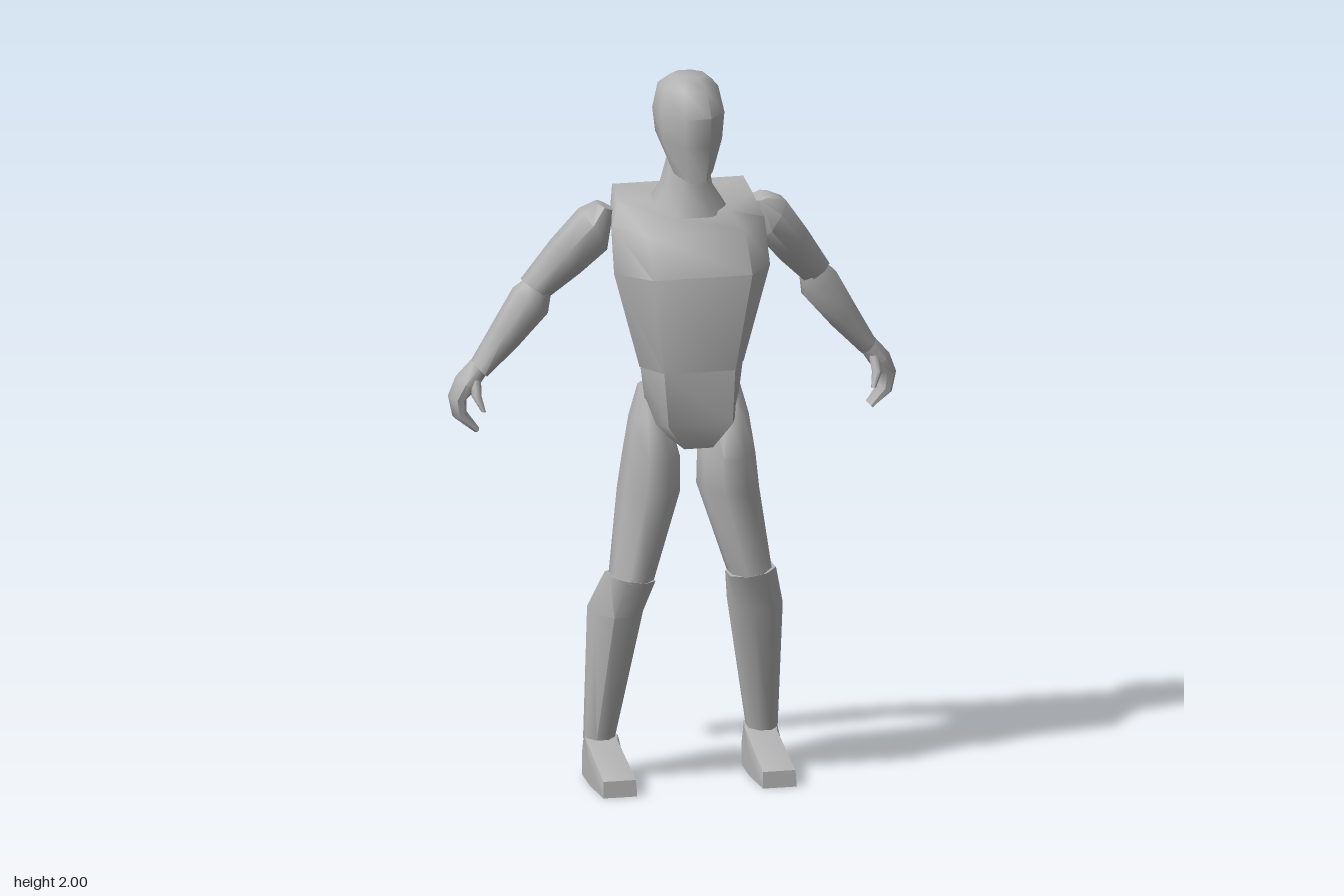
import * as THREE from 'three';
import { toCreasedNormals } from 'three/addons/utils/BufferGeometryUtils.js';

const SIDES = 8;

// Eight-sided oval ring; sx and sz tilt it along x and z.
function oval([cx, cy, cz, rx, rz, sx = 0, sz = 0], side = 1) {
  const ring = [];
  const k = 1 / Math.cos(Math.PI / SIDES);
  for (let i = 0; i < SIDES; i++) {
    const a = ((i + 0.5) / SIDES) * Math.PI * 2;
    const dx = rx * k * Math.cos(a), dz = rz * k * Math.sin(a);
    ring.push([side * cx + dx, cy + side * sx * dx + sz * dz, cz + dz]);
  }
  return ring;
}

// Six-cornered slab ring: side, front and back half widths, with depths.
function slab([yBack, yFront, w, fw, bw, zf, zm, zb], cx = 0) {
  const yAt = (z) => yBack + ((yFront - yBack) * (z - zb)) / (zf - zb);
  return [[w, zm], [fw, zf], [-fw, zf], [-w, zm], [-bw, zb], [bw, zb]]
    .map(([x, z]) => [cx + x, yAt(z), z]);
}

// Skin a stack of rings from top to bottom and close both ends.
function loft(rings, crease = 1.0) {
  const n = rings[0].length, last = (rings.length - 1) * n;
  const points = rings.flat();
  const index = [];
  for (let i = 0; i < rings.length - 1; i++) {
    for (let j = 0; j < n; j++) {
      const a = i * n + j, b = i * n + ((j + 1) % n);
      index.push(a, b, a + n, b, b + n, a + n);
    }
  }
  const middle = (ring) => [0, 1, 2].map((k) => ring.reduce((s, p) => s + p[k], 0) / n);
  const top = points.push(middle(rings[0])) - 1;
  const bottom = points.push(middle(rings[rings.length - 1])) - 1;
  for (let j = 0; j < n; j++) {
    const k = (j + 1) % n;
    index.push(top, k, j, bottom, last + j, last + k);
  }
  const g = new THREE.BufferGeometry();
  g.setAttribute('position', new THREE.Float32BufferAttribute(points.flat(), 3));
  g.setIndex(index);
  return toCreasedNormals(g.toNonIndexed(), crease);
}

// Limb sections for the model's left side: x, y, z, rx, rz, tilt.
const LIMBS = {
  upperArm: [
    [0.22, 1.625, -0.04, 0.022, 0.045, 0.4],
    [0.252, 1.56, -0.038, 0.034, 0.063, 1.6],
    [0.32, 1.475, -0.08, 0.036, 0.06, 1.2],
    [0.397, 1.38, -0.12, 0.034, 0.048, 0.7],
  ],
  forearm: [
    [0.385, 1.385, -0.12, 0.03, 0.045, 0.7],
    [0.407, 1.345, -0.125, 0.044, 0.055, 0.75],
    [0.475, 1.25, -0.135, 0.032, 0.05, 0.9],
    [0.548, 1.155, -0.143, 0.019, 0.042, 1.0],
  ],
  hand: [
    [0.548, 1.16, -0.145, 0.019, 0.038, 0.9],
    [0.583, 1.115, -0.15, 0.024, 0.045, 0.7],
    [0.606, 1.075, -0.155, 0.022, 0.042, 0.1],
    [0.6, 1.03, -0.155, 0.016, 0.036, -0.6],
    [0.555, 0.985, -0.15, 0.006, 0.03, -1],
  ],
  thumb: [
    [0.562, 1.135, -0.125, 0.014, 0.018],
    [0.565, 1.09, -0.1, 0.013, 0.015],
    [0.55, 1.05, -0.08, 0.006, 0.008],
  ],
  thigh: [
    [0.118, 1.13, 0.03, 0.022, 0.03],
    [0.112, 1.04, 0.035, 0.05, 0.075],
    [0.106, 0.93, 0.036, 0.072, 0.1],
    [0.112, 0.83, 0.028, 0.078, 0.107],
    [0.167, 0.59, 0.055, 0.057, 0.075],
  ],
  shin: [
    [0.17, 0.595, 0.055, 0.064, 0.077, 0.15],
    [0.197, 0.49, -0.007, 0.068, 0.108],
    [0.23, 0.11, -0.06, 0.04, 0.042],
  ],
};

export function createModel() {
  const model = new THREE.Group();
  const grey = new THREE.MeshStandardMaterial({ color: 0xb2b2b2 });
  grey.name = 'plain grey';

  function add(name, geometry, parent = model) {
    const mesh = new THREE.Mesh(geometry, grey);
    mesh.name = name;
    parent.add(mesh);
  }

  // Head with a slanting jaw, and the neck flaring into the collar
  add('head', loft([
    [0, 2.0, 0.03, 0.045, 0.045],
    [0, 1.972, 0.027, 0.076, 0.092],
    [0, 1.9, 0.032, 0.09, 0.118],
    [0, 1.83, 0.035, 0.083, 0.113, 0, -0.1],
    [0, 1.75, 0.055, 0.055, 0.088, 0, -0.36],
  ].map((r) => oval(r))));
  add('neck', loft([
    [0, 1.79, 0.02, 0.045, 0.058],
    [0, 1.69, 0.008, 0.065, 0.085],
    [0, 1.61, 0.008, 0.115, 0.095],
  ].map((r) => oval(r))));

  // Torso tapering from the chest to the waist, then the pelvis
  add('torso', loft([
    [1.67, 1.62, 0.19, 0.1, 0.185, 0.08, 0.0, -0.09],
    [1.6, 1.57, 0.215, 0.14, 0.19, 0.12, 0.03, -0.093],
    [1.45, 1.465, 0.22, 0.14, 0.165, 0.2, 0.075, -0.09],
    [1.19, 1.19, 0.147, 0.1, 0.115, 0.167, 0.07, -0.02],
  ].map((r) => slab(r))));
  add('pelvis', loft([
    [1.2, 1.19, 0.145, 0.1, 0.11, 0.165, 0.07, -0.018],
    [1.03, 1.04, 0.125, 0.09, 0.085, 0.175, 0.07, -0.05],
    [0.98, 0.97, 0.05, 0.04, 0.05, 0.15, 0.07, -0.03],
  ].map((r) => slab(r))));

  // Arms, legs and feet on both sides
  for (const side of [1, -1]) {
    const limbs = new THREE.Group();
    limbs.name = side > 0 ? 'leftLimbs' : 'rightLimbs';
    for (const [name, rings] of Object.entries(LIMBS)) {
      add(name, loft(rings.map((r) => oval(r, side))), limbs);
    }
    add('foot', loft([
      [0.125, 0.115, 0.046, 0.036, 0.036, -0.01, -0.05, -0.1],
      [0.06, 0.045, 0.05, 0.046, 0.042, 0.16, 0.02, -0.103],
      [0.0, 0.0, 0.05, 0.048, 0.042, 0.167, 0.02, -0.103],
    ].map((r) => slab(r, side * 0.225))), limbs);
    model.add(limbs);
  }
  return model;
}
